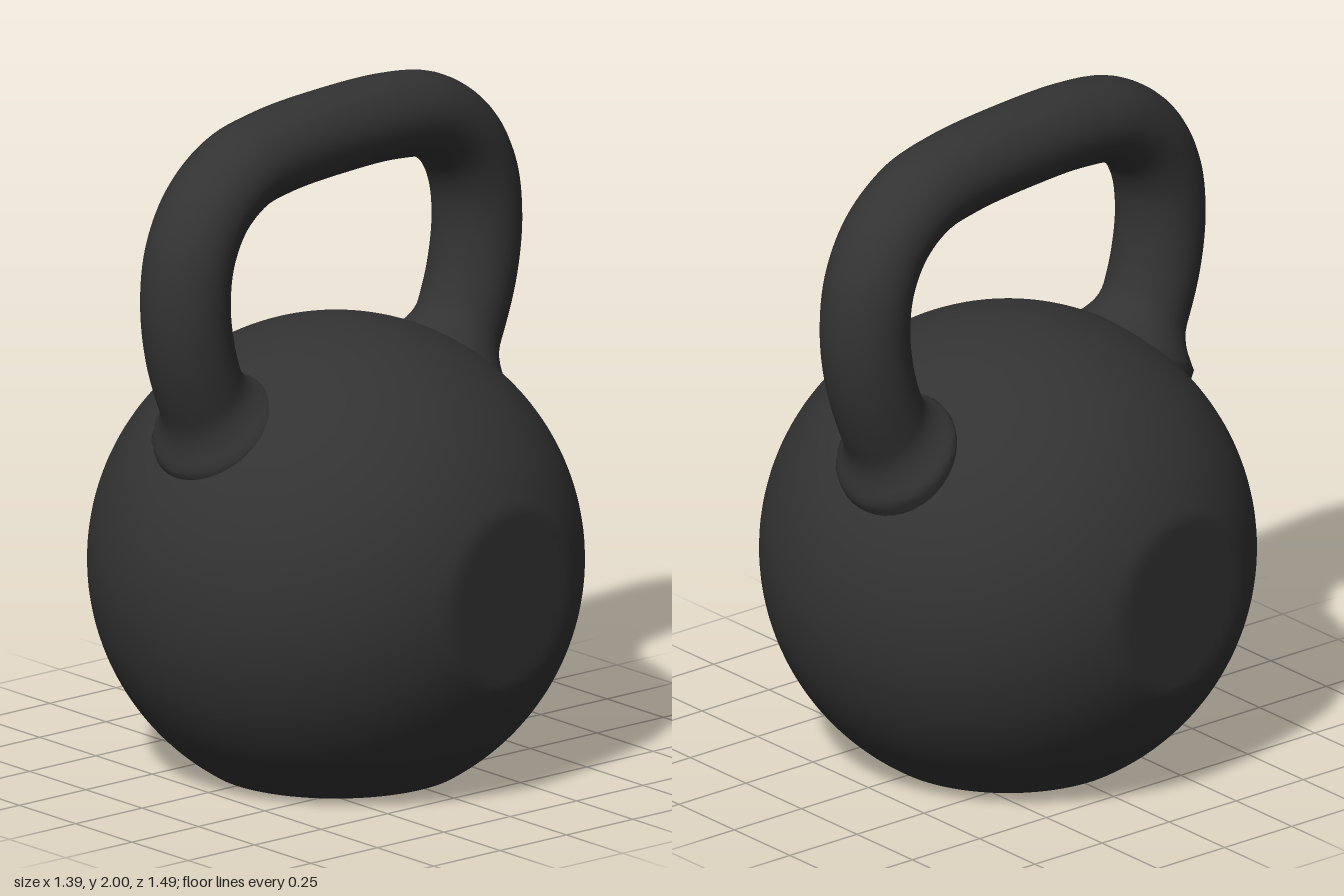
import * as THREE from 'three';
import { mergeVertices } from 'three/addons/utils/BufferGeometryUtils.js';

const R = 0.715;                                   // ball radius
const CENTRE = new THREE.Vector3(0, 0.61, 0.02);   // ball centre
const FLAT = 0.664;                                // distance of the side flats

// Weld seams, then smooth the normals
function smooth(geometry) {
  geometry.deleteAttribute('uv');
  geometry.deleteAttribute('normal');
  const welded = mergeVertices(geometry, 1e-4);
  welded.computeVertexNormals();
  return welded;
}

// Ball with a flat foot and two flattened sides
function createBall() {
  const start = -Math.asin(CENTRE.y / R);
  const points = [new THREE.Vector2(0, -CENTRE.y), new THREE.Vector2(0.35, -CENTRE.y)];
  const steps = 80;
  for (let i = 0; i <= steps; i++) {
    const a = start + (Math.PI / 2 - start) * (i / steps);
    points.push(new THREE.Vector2(i === steps ? 0 : R * Math.cos(a), R * Math.sin(a)));
  }
  const geometry = new THREE.LatheGeometry(points, 128);
  const pos = geometry.attributes.position;
  for (let i = 0; i < pos.count; i++) {
    pos.setX(i, THREE.MathUtils.clamp(pos.getX(i), -FLAT, FLAT));
  }
  return smooth(geometry);
}

// Looped grip whose feet flare where they meet the ball
function createHandle() {
  const half = [
    [0.25, 1.866], [0.41, 1.835], [0.535, 1.75], [0.605, 1.63],
    [0.625, 1.49], [0.605, 1.34], [0.555, 1.2], [0.49, 1.07], [0.4, 0.92],
  ];
  const path = new THREE.CatmullRomCurve3([
    ...half.slice().reverse().map(([z, y]) => new THREE.Vector3(0, y, z)),
    new THREE.Vector3(0, 1.875, 0),
    ...half.map(([z, y]) => new THREE.Vector3(0, y, -z)),
  ]);
  const rings = 160, sides = 40;
  const geometry = new THREE.TubeGeometry(path, rings, 0.125, sides, false);
  const pos = geometry.attributes.position;
  const p = new THREE.Vector3(), c = new THREE.Vector3();
  for (let i = 0; i < pos.count; i++) {
    p.fromBufferAttribute(pos, i);
    path.getPointAt(Math.floor(i / (sides + 1)) / rings, c);
    const gap = Math.max(0, p.distanceTo(CENTRE) - R);
    const flare = Math.max(0, 1 - gap / 0.11) ** 2;
    p.sub(c).multiplyScalar(1 + 0.45 * flare);
    p.x *= 1.08;
    p.add(c);
    pos.setXYZ(i, p.x, p.y, p.z);
  }
  return smooth(geometry);
}

export function createModel() {
  const iron = new THREE.MeshStandardMaterial({ color: 0x333333 });
  iron.name = 'dark iron';

  const ball = new THREE.Mesh(createBall(), iron);
  ball.name = 'ball';
  ball.position.copy(CENTRE);
  ball.rotation.y = 0.16;

  const handle = new THREE.Mesh(createHandle(), iron);
  handle.name = 'handle';
  handle.position.x = -0.045;
  handle.rotation.y = 0.134;

  const model = new THREE.Group();
  model.name = 'kettlebell';
  model.add(ball, handle);
  return model;
}
